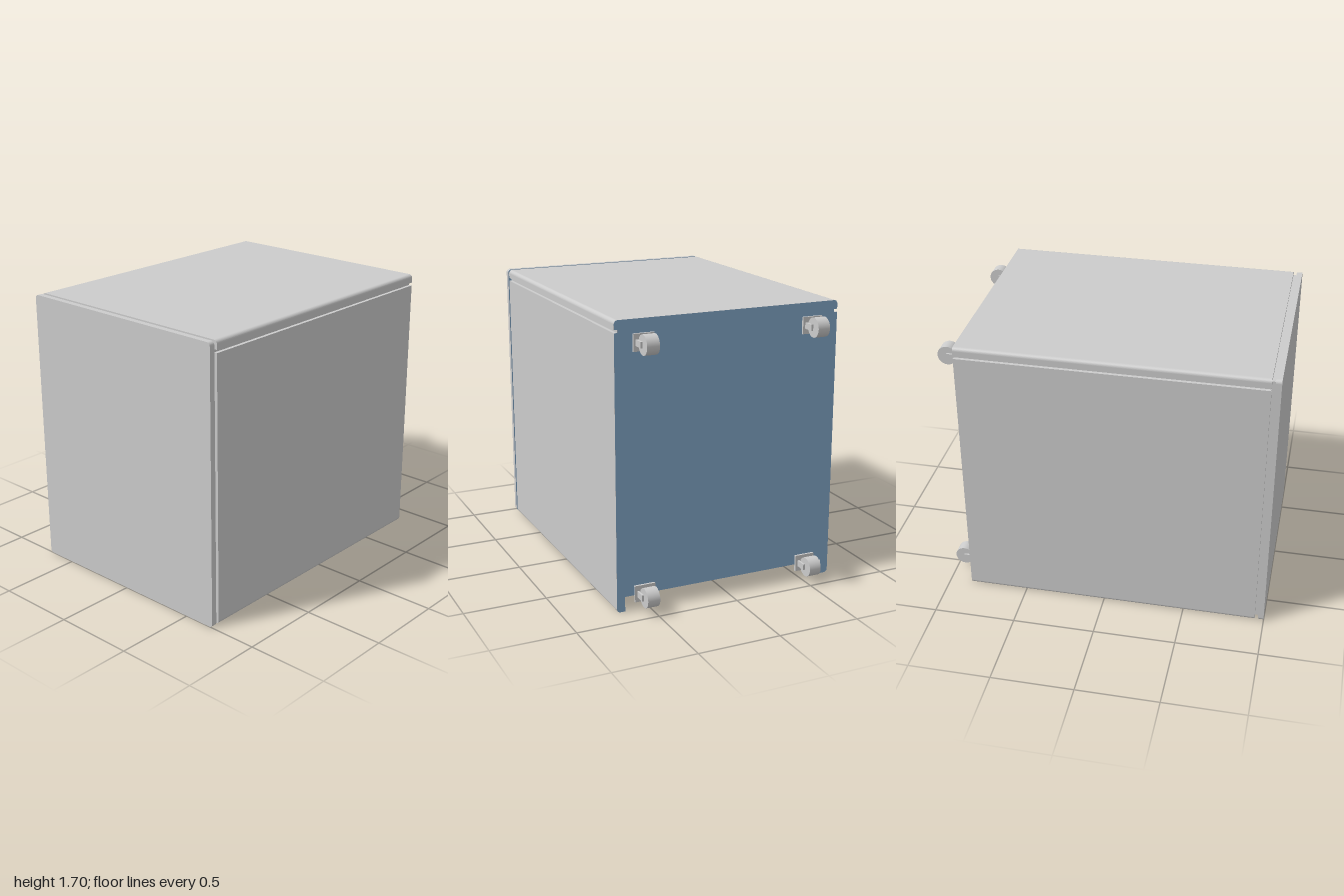
import * as THREE from 'three';

const grey = new THREE.MeshStandardMaterial({ color: 0xcccccc });
const blue = new THREE.MeshStandardMaterial({ color: 0x83a9cb });

const W = 0.7, H = 1.7, R = 0.022; // half width, height, corner radius
const BACK = -0.86, KICK = -0.7, BODY_END = 0.945, PANEL = 0.965;

function add(parent, name, geometry, material, x = 0, y = 0, z = 0) {
  const mesh = new THREE.Mesh(geometry, material);
  mesh.name = name;
  mesh.position.set(x, y, z);
  parent.add(mesh);
  return mesh;
}

function box(parent, name, material, x0, x1, y0, y1, z0, z1) {
  const g = new THREE.BoxGeometry(x1 - x0, y1 - y0, z1 - z0);
  return add(parent, name, g, material, (x0 + x1) / 2, (y0 + y1) / 2, (z0 + z1) / 2);
}

// Rounded outline; optional bottom recess and shallow grooves under the top board
function outline(recess = 0, grooved = false) {
  const s = new THREE.Shape();
  const inner = W - 0.05, g0 = 1.63, g1 = 1.648, gx = W - 0.02;
  s.moveTo(-W + R, 0);
  if (recess > 0) {
    s.lineTo(-inner, 0);
    s.lineTo(-inner, recess);
    s.lineTo(inner, recess);
    s.lineTo(inner, 0);
  }
  s.lineTo(W - R, 0);
  s.absarc(W - R, R, R, -Math.PI / 2, 0);
  if (grooved) for (const [x, y] of [[W, g0], [gx, g0], [gx, g1], [W, g1]]) s.lineTo(x, y);
  s.absarc(W - R, H - R, R, 0, Math.PI / 2);
  s.absarc(-W + R, H - R, R, Math.PI / 2, Math.PI);
  if (grooved) for (const [x, y] of [[-W, g1], [-gx, g1], [-gx, g0], [-W, g0]]) s.lineTo(x, y);
  s.absarc(-W + R, R, R, Math.PI, Math.PI * 1.5);
  return s;
}

function slab(parent, name, shape, z0, z1) {
  const g = new THREE.ExtrudeGeometry(shape, { depth: z1 - z0, bevelEnabled: false, curveSegments: 8 });
  return add(parent, name, g, grey, 0, 0, z0);
}

// Thin coloured skin facing -z (outlines are mirror symmetric)
function skin(parent, name, shape, z) {
  const g = new THREE.ShapeGeometry(shape, 8).rotateY(Math.PI);
  return add(parent, name, g, blue, 0, 0, z - 0.001);
}

function makeCaster(x, y) {
  const caster = new THREE.Group();
  caster.name = 'caster';
  caster.position.set(x, y, BACK);
  box(caster, 'casterPlate', grey, -0.063, 0.063, -0.05, 0.05, -0.014, 0);
  const wheel = new THREE.CylinderGeometry(0.058, 0.058, 0.075, 32).rotateZ(Math.PI / 2);
  add(caster, 'wheel', wheel, grey, 0, 0, -0.082);
  for (const s of [-1, 1]) {
    const fork = box(caster, 'casterFork', grey, -0.006, 0.006, -0.018, 0.018, -0.082, -0.01);
    fork.position.x = s * 0.044;
  }
  return caster;
}

export function createModel() {
  const model = new THREE.Group();
  model.name = 'mobileCabinet';

  // Carcass with a deeper recess at the plinth end
  slab(model, 'carcass', outline(0.06, true), KICK, BODY_END);
  slab(model, 'plinth', outline(0.09, true), BACK, KICK);
  skin(model, 'basePanel', outline(0.09, true), BACK);
  box(model, 'plinthBoard', blue, -0.65, 0.65, 0.025, 0.09, KICK - 0.002, KICK + 0.006);

  // End panel separated from the carcass by a shadow gap
  box(model, 'shadowGapCore', grey, -W + 0.02, W - 0.02, 0.025, H - 0.02, BODY_END - 0.01, PANEL + 0.01);
  slab(model, 'endPanel', outline(), PANEL, 1);
  skin(model, 'endPanelLining', outline(), PANEL);

  // Three drawer fronts, each with a long pull
  const drawers = [[-0.694, 0.125], [0.135, 0.535], [0.545, 0.94]];
  for (const [z0, z1] of drawers) {
    box(model, 'drawerFront', grey, -0.645, 0.645, 0.025, 0.07, z0, z1);
    const z = z1 - 0.055;
    box(model, 'drawerPull', blue, -0.615, 0.615, 0.016, 0.03, z - 0.03, z + 0.03);
    for (const s of [-1, 1]) {
      box(model, 'pullLip', blue, -0.605, 0.605, 0.004, 0.018, z + s * 0.022 - 0.006, z + s * 0.022 + 0.006);
      const cap = box(model, 'pullEndCap', grey, -0.008, 0.008, 0.004, 0.03, z - 0.03, z + 0.03);
      cap.position.x = s * 0.615;
    }
  }
  add(model, 'lock', new THREE.CylinderGeometry(0.022, 0.022, 0.03, 24), grey, 0.49, 0.018, 0.74);

  // Casters at the four corners of the base
  for (const x of [-0.53, 0.53]) {
    for (const y of [0.1, 1.57]) model.add(makeCaster(x, y));
  }
  return model;
}
